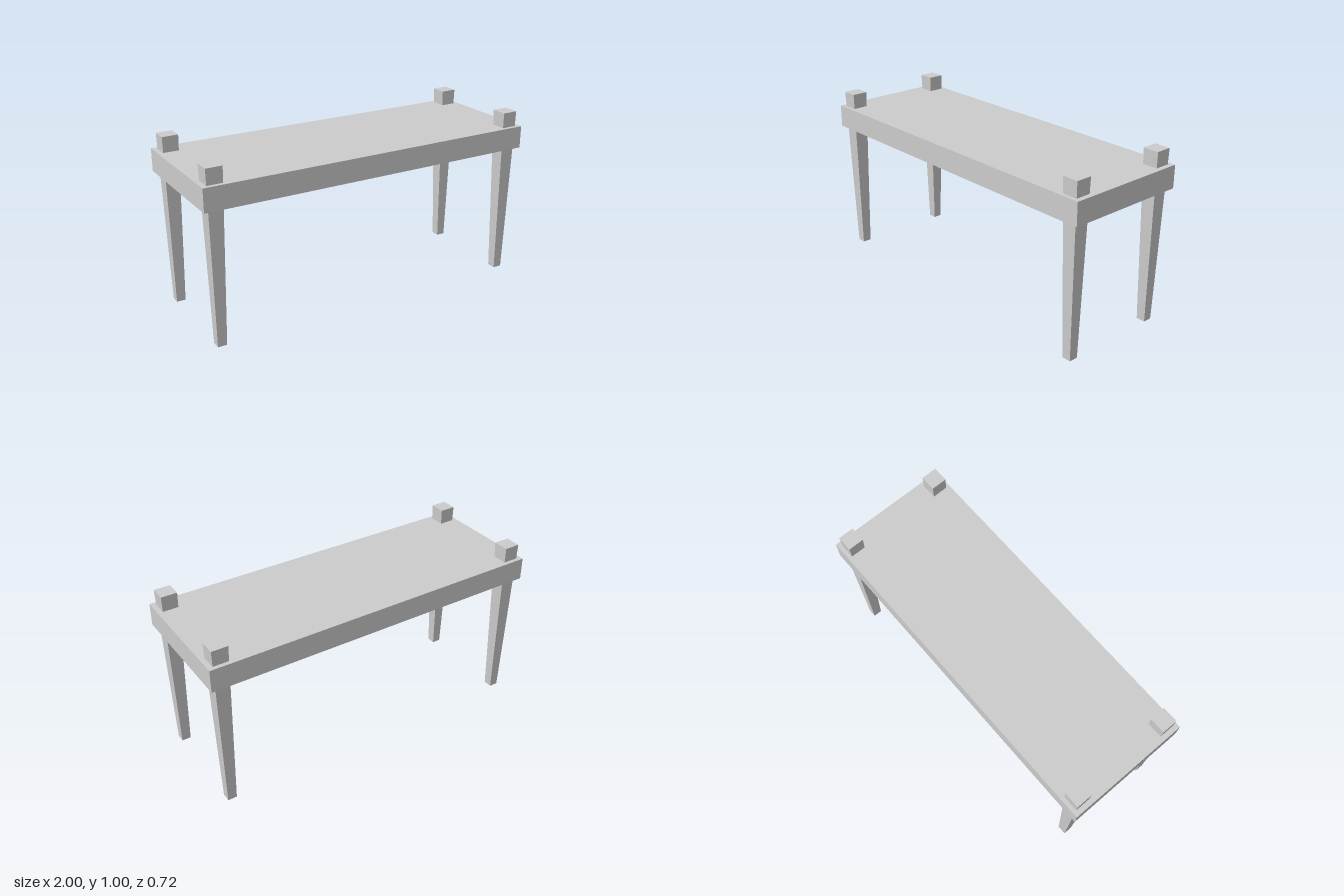
import * as THREE from 'three';

const HEIGHT = 0.997;

// Square leg tapering towards the floor, passing up through the top
function legGeometry(topWidth, footWidth) {
  const geo = new THREE.BoxGeometry(1, HEIGHT, 1);
  geo.translate(0, HEIGHT / 2, 0);
  const pos = geo.attributes.position;
  for (let i = 0; i < pos.count; i++) {
    const w = THREE.MathUtils.lerp(footWidth, topWidth, pos.getY(i) / HEIGHT);
    pos.setX(i, pos.getX(i) * w);
    pos.setZ(i, pos.getZ(i) * w);
  }
  geo.computeVertexNormals();
  return geo;
}

export function createModel() {
  const group = new THREE.Group();
  group.name = 'table';
  const material = new THREE.MeshStandardMaterial({ color: 0xcccccc, flatShading: true });

  // Thick slab top
  const top = new THREE.Mesh(new THREE.BoxGeometry(2, 0.13, 0.72), material);
  top.name = 'tableTop';
  top.position.y = 0.843;
  group.add(top);

  // Four corner legs
  const geo = legGeometry(0.092, 0.052);
  for (const [side, sx] of [['Left', 1], ['Right', -1]]) {
    for (const [end, sz] of [['front', 1], ['back', -1]]) {
      const leg = new THREE.Mesh(geo, material);
      leg.name = `${end}${side}Leg`;
      leg.position.set(sx * 0.927, 0, sz * 0.2925);
      group.add(leg);
    }
  }
  return group;
}
